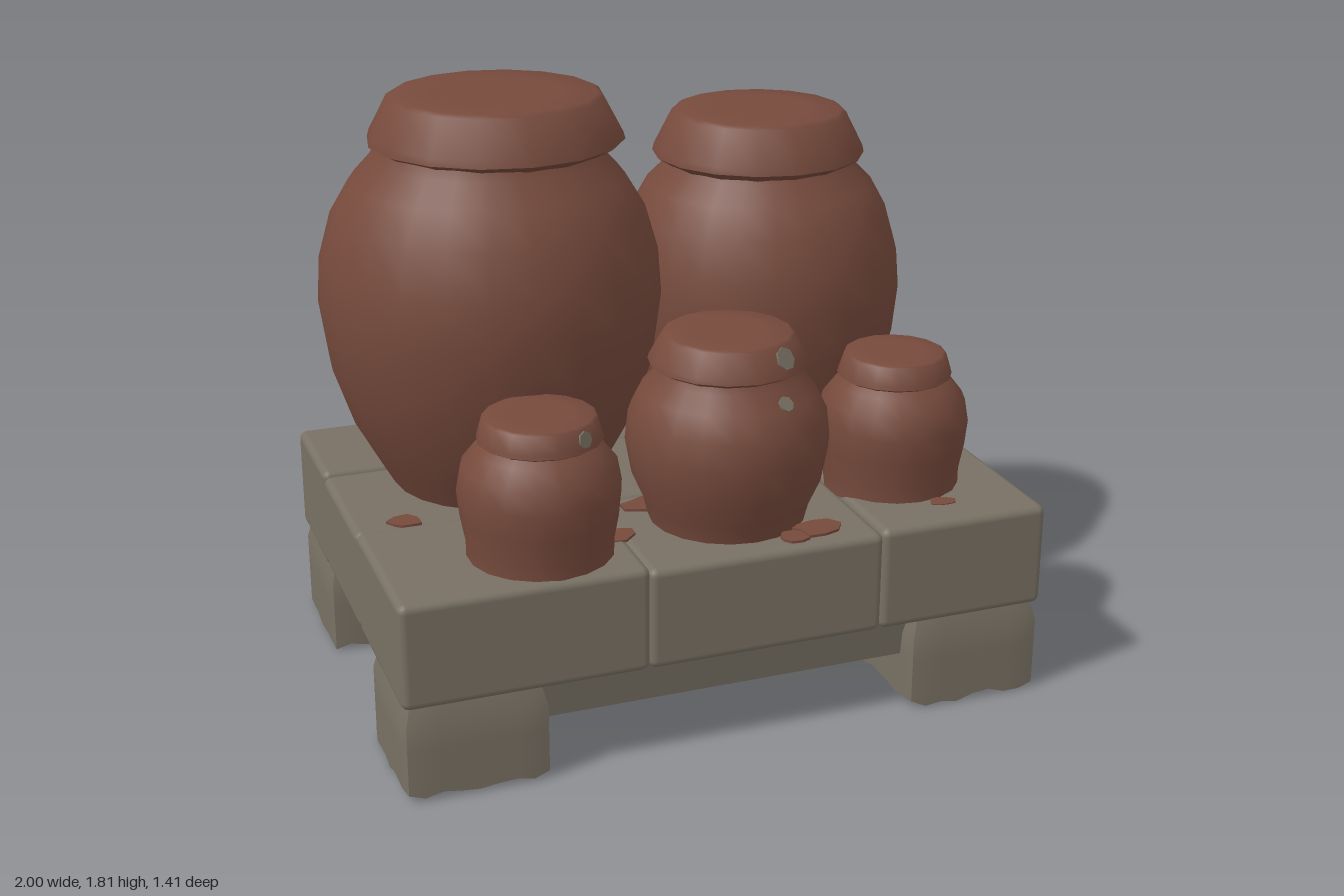
import * as THREE from 'three';
import { toCreasedNormals } from 'three/addons/utils/BufferGeometryUtils.js';
import { RoundedBoxGeometry } from 'three/addons/geometries/RoundedBoxGeometry.js';

const mat = (name, color) => {
  const m = new THREE.MeshStandardMaterial({ color });
  m.name = name;
  return m;
};

export function createModel() {
  const root = new THREE.Group();
  root.name = 'jarsOnStonePlinth';
  const clay = mat('clay', 0x764a3c);
  const stone = mat('stone', 0x787063);

  let seed = 7;
  const rnd = () => (seed = (seed * 16807) % 2147483647) / 2147483647;

  const add = (parent, name, geo, material, x = 0, y = 0, z = 0) => {
    const m = new THREE.Mesh(geo, material);
    m.name = name;
    m.position.set(x, y, z);
    parent.add(m);
    return m;
  };

  // Plinth top: a grid of softly rounded stone blocks
  const plinth = new THREE.Group();
  plinth.name = 'plinth';
  root.add(plinth);
  const xs = [-1, -0.27, 0.46, 1], zs = [-0.69, -0.3, 0.17, 0.7];
  for (let i = 0; i < 3; i++) for (let j = 0; j < 3; j++) {
    const w = xs[i + 1] - xs[i], d = zs[j + 1] - zs[j];
    const h = i === 1 || j === 1 ? 0.315 : 0.325;
    add(plinth, 'topBlock', new RoundedBoxGeometry(w + 0.004, h, d + 0.004, 2, 0.025), stone,
      xs[i] + w / 2, 0.29 + h / 2, zs[j] + d / 2);
  }

  // Recessed rails under the top, slanting inwards towards the bottom
  const rail = (w, d, x, z) => {
    const g = new THREE.BoxGeometry(w, 0.16, d);
    const p = g.attributes.position;
    for (let i = 0; i < p.count; i++) if (p.getY(i) < 0) {
      if (x) p.setX(i, p.getX(i) - Math.sign(x) * 0.02);
      if (z) p.setZ(i, p.getZ(i) - Math.sign(z) * 0.02);
    }
    g.computeVertexNormals();
    add(plinth, 'rail', g, stone, x, 0.235, z);
  };
  for (const s of [-1, 1]) {
    rail(1.4, 0.22, 0, s * 0.53);
    rail(0.22, 0.84, s * 0.82, 0);
  }

  // Feet: bulging blocks with a ragged bottom edge
  const footGeometry = () => {
    const g = new THREE.BoxGeometry(0.43, 0.28, 0.42, 8, 4, 8);
    const p = g.attributes.position;
    const jag = new Map();
    for (let i = 0; i < p.count; i++) {
      const x = p.getX(i), y = p.getY(i), z = p.getZ(i);
      const t = (y + 0.14) / 0.28;
      const corner = Math.abs(x) > 0.2 && Math.abs(z) > 0.2;
      const s = (t > 0.9 ? 0.92 : 1) * (corner ? 0.965 : 1);
      const key = x.toFixed(2) + z.toFixed(2);
      if (!jag.has(key)) jag.set(key, rnd() * 0.025);
      p.setXYZ(i, x * s, t < 0.01 ? -0.16 + jag.get(key) : y, z * s);
    }
    return toCreasedNormals(g, 0.8);
  };
  for (const sx of [-1, 1]) for (const sz of [-1, 1])
    add(plinth, 'foot', footGeometry(), stone, sx * 0.785, 0.16, sz * 0.49);

  // Jars: body profile as [radius, y]; lid as rim radius, top radius, rim y, top y
  const profiles = {
    large: [[0.32, 0.6], [0.37, 0.69], [0.44, 0.82], [0.5, 1], [0.525, 1.18], [0.515, 1.32], [0.475, 1.46], [0.415, 1.56], [0.35, 1.63], [0.33, 1.68]],
    medium: [[0.325, 0.6], [0.36, 0.69], [0.405, 0.82], [0.44, 0.97], [0.455, 1.12], [0.445, 1.24], [0.41, 1.36], [0.36, 1.45], [0.3, 1.51], [0.28, 1.56]],
    small: [[0.235, 0.6], [0.25, 0.66], [0.285, 0.74], [0.305, 0.85], [0.295, 0.94], [0.26, 1.01], [0.215, 1.06], [0.2, 1.1]],
    tiny: [[0.215, 0.6], [0.215, 0.66], [0.23, 0.74], [0.238, 0.82], [0.225, 0.89], [0.185, 0.94], [0.15, 0.97]],
  };
  const v2 = (a) => a.map(([r, y]) => new THREE.Vector2(r, y));
  const jar = (name, profile, x, z, [rim, top, y0, y1], dx = 0, dz = 0, seg = 24) => {
    const g = new THREE.Group();
    g.name = name;
    g.position.set(x, 0, z);
    root.add(g);
    add(g, 'body', new THREE.LatheGeometry(v2(profiles[profile]), seg), clay);
    const h = y1 - y0;
    const lid = v2([[0, y0 - h * 0.1], [rim * 0.86, y0 - h * 0.2], [rim, y0], [rim * 0.985, y0 + h * 0.15],
      [top, y1 - h * 0.08], [top * 0.95, y1 - h * 0.01], [top * 0.6, y1], [0, y1]]);
    add(g, 'lid', toCreasedNormals(new THREE.LatheGeometry(lid, 16), 0.9), clay, dx, 0, dz);
    return g;
  };
  jar('largeJar', 'large', -0.475, -0.175, [0.388, 0.325, 1.675, 1.815], 0.03, 0.0);
  jar('mediumJar', 'medium', 0.435, -0.235, [0.335, 0.275, 1.545, 1.685], -0.005, 0);
  const middle = jar('middleSmallJar', 'small', 0.085, 0.385, [0.237, 0.195, 1.095, 1.185], 0, 0, 20);
  const right = jar('rightSmallJar', 'tiny', -0.525, 0.47, [0.182, 0.165, 0.965, 1.035], 0.005, 0, 18);
  jar('leftSmallJar', 'tiny', 0.655, 0.335, [0.18, 0.16, 0.965, 1.035], 0, 0, 18).scale.set(0.97, 1, 0.97);

  // Pale chips on the small jars, facing along the surface
  const chip = (parent, dx, y, r, tilt, size) => {
    const a = Math.asin(dx / r);
    const n = new THREE.Vector3(Math.sin(a) * Math.cos(tilt), Math.sin(tilt), Math.cos(a) * Math.cos(tilt));
    const m = add(parent, 'chip', new THREE.CylinderGeometry(size, size, 0.008, 7), stone, dx, y, r * Math.cos(a));
    m.quaternion.setFromUnitVectors(new THREE.Vector3(0, 1, 0), n);
  };
  chip(middle, 0.1, 1.145, 0.212, 0.5, 0.035);
  chip(middle, 0.085, 1.025, 0.25, 0.7, 0.024);
  chip(right, 0.09, 1.0, 0.175, 0.25, 0.025);

  // Clay stains on the stone around the jars
  const stains = [[0.28, 0.6, 0.08], [0.2, 0.64, 0.05], [0.72, 0.56, 0.05], [0.76, 0.03, 0.1], [0.87, 0.13, 0.035],
    [0.82, -0.13, 0.06], [-0.84, 0.15, 0.06], [-0.12, -0.42, 0.1], [0.03, -0.5, 0.05], [-0.72, -0.52, 0.06],
    [0.72, -0.52, 0.06], [0.4, 0.17, 0.07], [-0.28, 0.46, 0.06], [-0.14, 0.27, 0.07]];
  for (const [x, z, r] of stains) {
    const pts = [];
    for (let i = 0; i < 9; i++) {
      const a = i / 9 * Math.PI * 2, k = r * (0.6 + rnd() * 0.5);
      pts.push(new THREE.Vector2(Math.cos(a) * k, Math.sin(a) * k * 0.8));
    }
    const g = new THREE.ExtrudeGeometry(new THREE.Shape(pts), { depth: 0.008, bevelEnabled: false });
    g.rotateX(-Math.PI / 2);
    add(root, 'clayStain', g, clay, x, 0.61, z);
  }
  return root;
}
